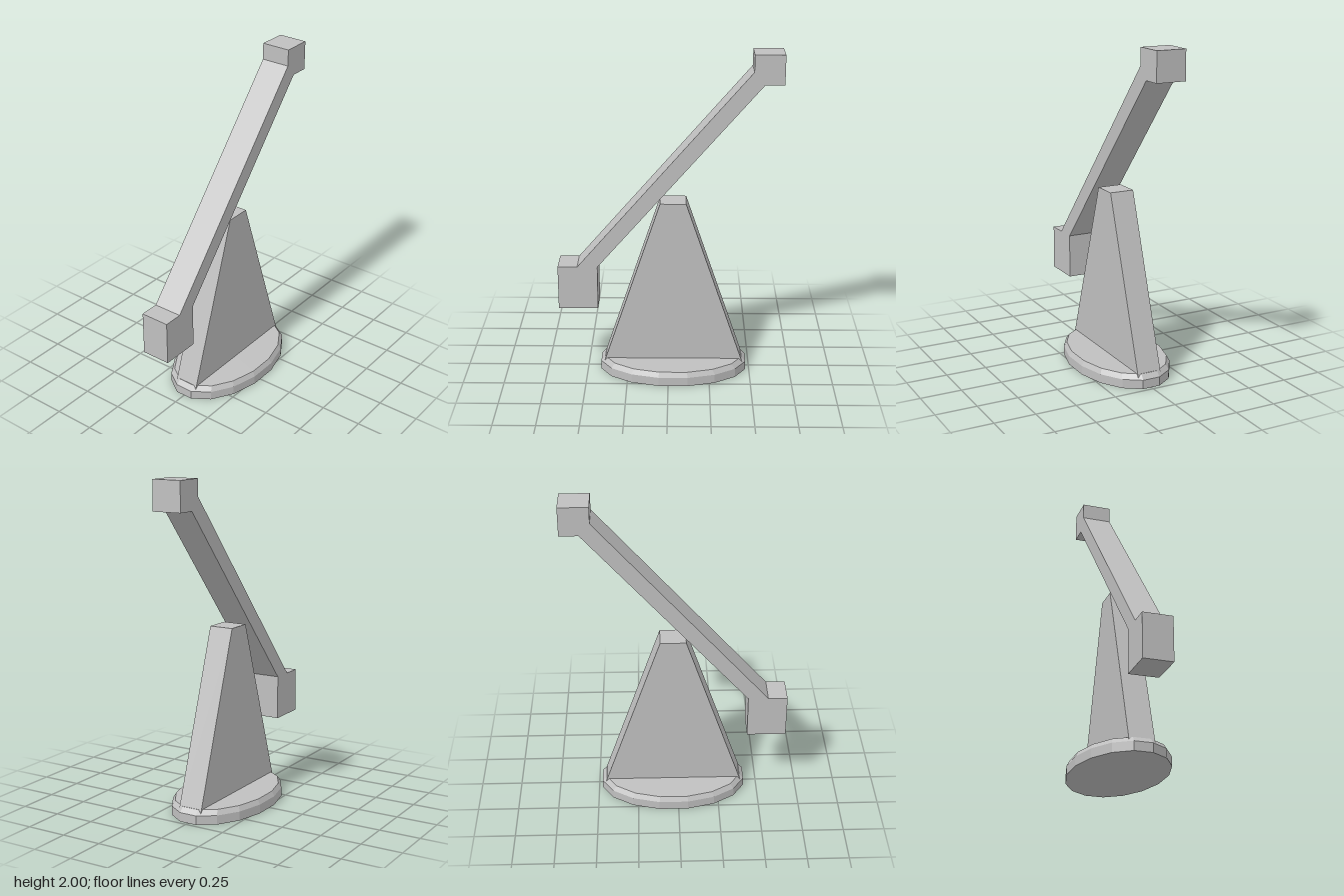
import * as THREE from 'three';

const grey = new THREE.MeshStandardMaterial({ color: 0xc0c0c0, flatShading: true });
grey.name = 'plain grey';

// Flat outline in x and y, extruded evenly to both sides of z = 0
function slab(name, points, depth) {
  const shape = new THREE.Shape(points.map(([x, y]) => new THREE.Vector2(x, y)));
  const geometry = new THREE.ExtrudeGeometry(shape, { depth, bevelEnabled: false });
  geometry.translate(0, 0, -depth / 2);
  const mesh = new THREE.Mesh(geometry, grey);
  mesh.name = name;
  return mesh;
}

export function createModel() {
  const model = new THREE.Group();
  model.name = 'counterweightLever';

  // Sixteen-sided oval base with a bevelled rim
  const profile = [[0, 0], [1, 0], [1, 0.055], [0.942, 0.085], [0, 0.085]]
    .map(([r, y]) => new THREE.Vector2(r, y));
  const baseGeometry = new THREE.LatheGeometry(profile, 16, Math.PI / 16);
  baseGeometry.scale(0.456, 1, 0.282);
  baseGeometry.translate(0.03, 0, 0);
  const base = new THREE.Mesh(baseGeometry, grey);
  base.name = 'base';

  // Tapered upright
  const support = slab('support', [
    [-0.4, 0.05], [0.46, 0.05], [0.105, 1.1], [-0.05, 1.1],
  ], 0.15);

  // Slanted beam with a heavy block at the low end and a small one at the top
  const arm = slab('arm', [
    [-0.667, 0.43], [-0.428, 0.43], [-0.428, 0.7], [0.55, 1.825],
    [0.663, 1.825], [0.663, 2], [0.487, 2], [0.487, 1.9],
    [-0.55, 0.7], [-0.667, 0.7],
  ], 0.18);

  model.add(base, support, arm);
  return model;
}
